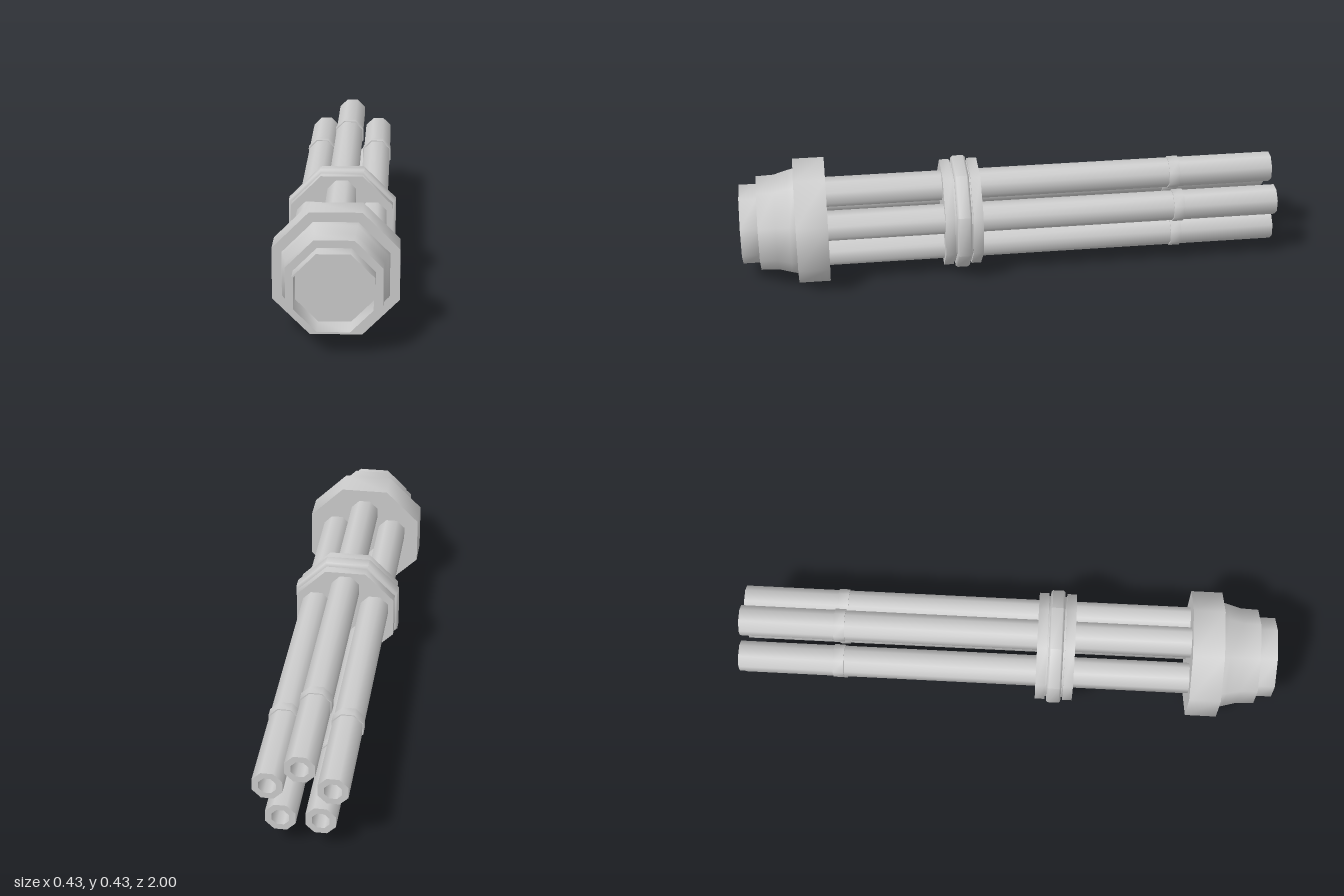
import * as THREE from 'three';
import { toCreasedNormals } from 'three/addons/utils/BufferGeometryUtils.js';

const AXIS_Y = 0.2165; // height of the central axis
const SIDES = 8;

export function createModel() {
  const model = new THREE.Group();
  const grey = new THREE.MeshStandardMaterial({ color: 0xcccccc, side: THREE.DoubleSide });

  // Octagonal turned part along z; profile is [apothem, z] from back to front
  function turned(name, profile) {
    const points = profile.map(([r, z]) => new THREE.Vector2(r / Math.cos(Math.PI / SIDES), z));
    const lathe = new THREE.LatheGeometry(points, SIDES, Math.PI / SIDES).rotateX(Math.PI / 2);
    const mesh = new THREE.Mesh(toCreasedNormals(lathe, 0.9), grey);
    mesh.name = name;
    return mesh;
  }

  const body = new THREE.Group();
  body.name = 'body';
  body.position.y = AXIS_Y;
  model.add(body);

  // Wide ring that holds the barrel roots
  body.add(turned('housingRing', [[0, 0.68], [0.2165, 0.68], [0.2165, 0.797], [0.18, 0.797]]));

  // Flared neck, shoulder and open nose cup
  body.add(turned('neckAndNose', [
    [0.183, 0.797], [0.178, 0.82], [0.165, 0.87], [0.163, 0.935], [0.137, 0.935],
    [0.137, 1], [0.132, 1], [0.132, 0.9], [0, 0.9],
  ]));

  // Stepped collar around the barrels with two narrow grooves
  body.add(turned('collar', [
    [0, 0.11], [0.185, 0.11], [0.185, 0.147], [0.175, 0.147], [0.175, 0.153],
    [0.19, 0.153], [0.196, 0.16], [0.196, 0.2], [0.19, 0.207],
    [0.175, 0.207], [0.175, 0.214], [0.185, 0.214], [0.185, 0.25], [0, 0.25],
  ]));

  // Five hollow barrels in a circle, each with a thin band
  for (let i = 0; i < 5; i++) {
    const angle = Math.PI / 2 + (i * Math.PI * 2) / 5;
    const barrel = new THREE.Group();
    barrel.name = 'barrel' + (i + 1);
    barrel.position.set(Math.cos(angle) * 0.117, Math.sin(angle) * 0.117, 0);
    barrel.add(turned('barrelTube', [[0, -0.7], [0.03, -0.7], [0.03, -1], [0.052, -1], [0.052, 0.69]]));
    barrel.add(turned('barrelBand', [[0.05, -0.647], [0.056, -0.647], [0.056, -0.607], [0.05, -0.607]]));
    body.add(barrel);
  }

  return model;
}
